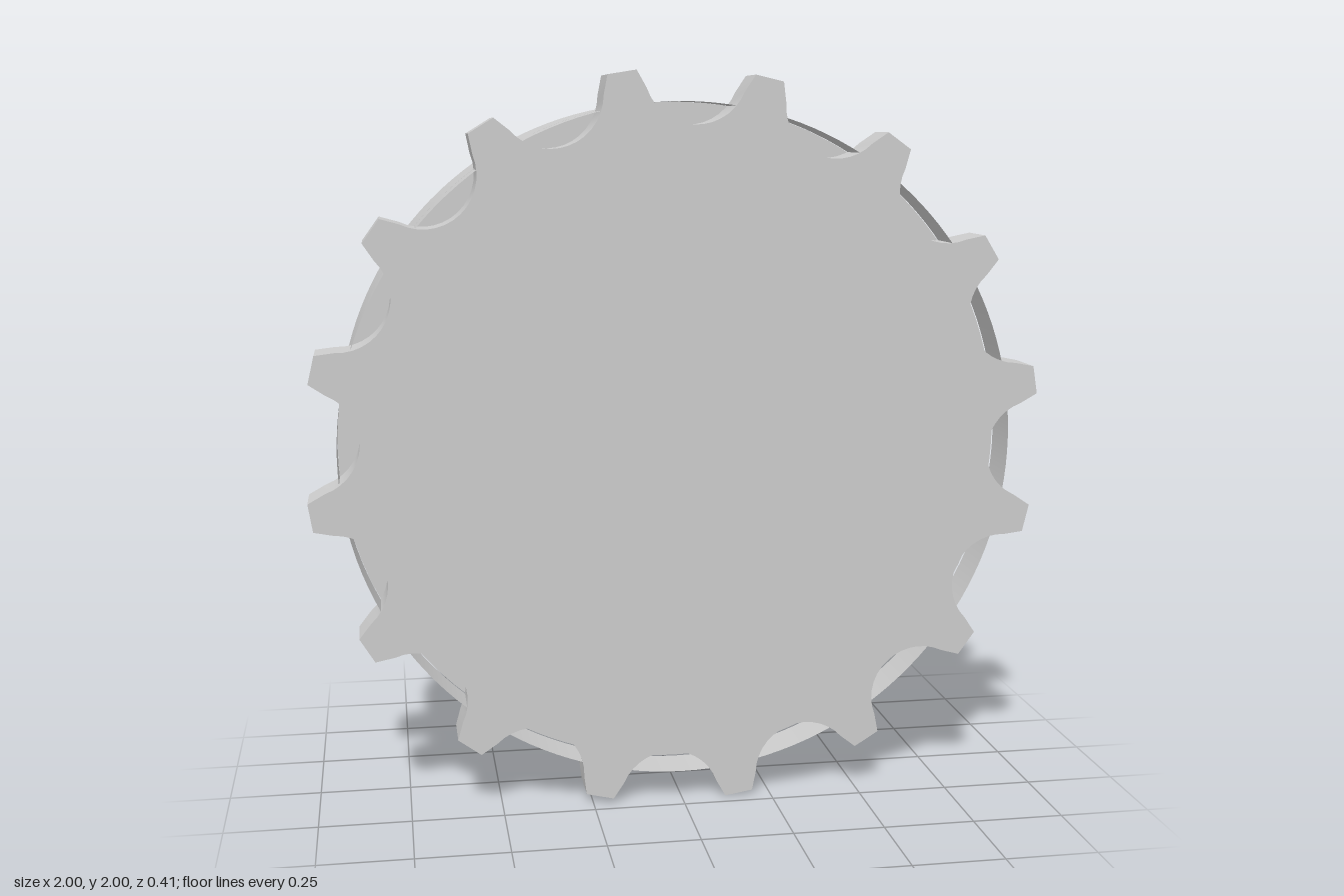
import * as THREE from 'three';
import { toCreasedNormals } from 'three/addons/utils/BufferGeometryUtils.js';

const DEG = Math.PI / 180;
const TEETH = 16;
const FRONT = 0.207, BACK = -0.207, STEP = 0.075; // z levels
const HUB_R = 0.92;

const grey = new THREE.MeshStandardMaterial({ color: 0xcccccc });
const greyThin = new THREE.MeshStandardMaterial({ color: 0xcccccc, side: THREE.DoubleSide });

function addPart(group, name, geometry, material = grey) {
  const mesh = new THREE.Mesh(geometry, material);
  mesh.name = name;
  group.add(mesh);
}

// Extrude a shape between two z levels, smooth on arcs, sharp on edges
function slab(shape, z0, z1) {
  const geo = new THREE.ExtrudeGeometry(shape, { depth: z1 - z0, bevelEnabled: false, curveSegments: 72 });
  geo.translate(0, 0, z0);
  return toCreasedNormals(geo, 25 * DEG);
}

// Toothed outline: round seats between narrow flat-tipped teeth
function sprocketShape() {
  const tipR = 1.0075, tipHalf = 2.2 * DEG, seatR = 0.14, seatCentre = 1.0;
  const points = [];
  for (let k = 0; k < TEETH; k++) {
    const tooth = 9.2 * DEG + (k * 2 * Math.PI) / TEETH;
    for (const a of [tooth - tipHalf, tooth + tipHalf]) {
      points.push(new THREE.Vector2(Math.cos(a) * tipR, Math.sin(a) * tipR));
    }
    const mid = tooth + Math.PI / TEETH;
    for (let i = 0; i <= 14; i++) {
      const t = (-69 + (138 * i) / 14) * DEG;
      points.push(new THREE.Vector2(seatCentre - seatR * Math.cos(t), seatR * Math.sin(t))
        .rotateAround(new THREE.Vector2(), mid));
    }
  }
  return new THREE.Shape(points);
}

// Hub disc with a round bore and a square keyway at its top
function hubShape() {
  const boreR = 0.47, keyHalf = 0.086, keyTop = 0.565;
  const shape = new THREE.Shape();
  shape.absarc(0, 0, HUB_R, 0, 2 * Math.PI);
  const a = Math.acos(keyHalf / boreR);
  const bore = new THREE.Path();
  bore.moveTo(-keyHalf, keyTop);
  bore.lineTo(keyHalf, keyTop);
  bore.absarc(0, 0, boreR, a, Math.PI - a, true);
  bore.closePath();
  shape.holes.push(bore);
  return shape;
}

export function createModel() {
  const model = new THREE.Group();
  model.name = 'sprocketWheel';
  const wheel = new THREE.Group();
  wheel.name = 'wheel';
  wheel.position.y = 1;
  model.add(wheel);

  addPart(wheel, 'toothedPlate', slab(sprocketShape(), STEP, FRONT));
  addPart(wheel, 'hub', slab(hubShape(), BACK, STEP));

  // Thin rim that bridges the gaps between the teeth
  const rimBack = STEP + 0.008;
  const rim = new THREE.CylinderGeometry(HUB_R, HUB_R, FRONT - rimBack, 144, 1, true);
  rim.rotateX(Math.PI / 2);
  rim.translate(0, 0, (FRONT + rimBack) / 2);
  addPart(wheel, 'rimBand', rim, greyThin);

  return model;
}
